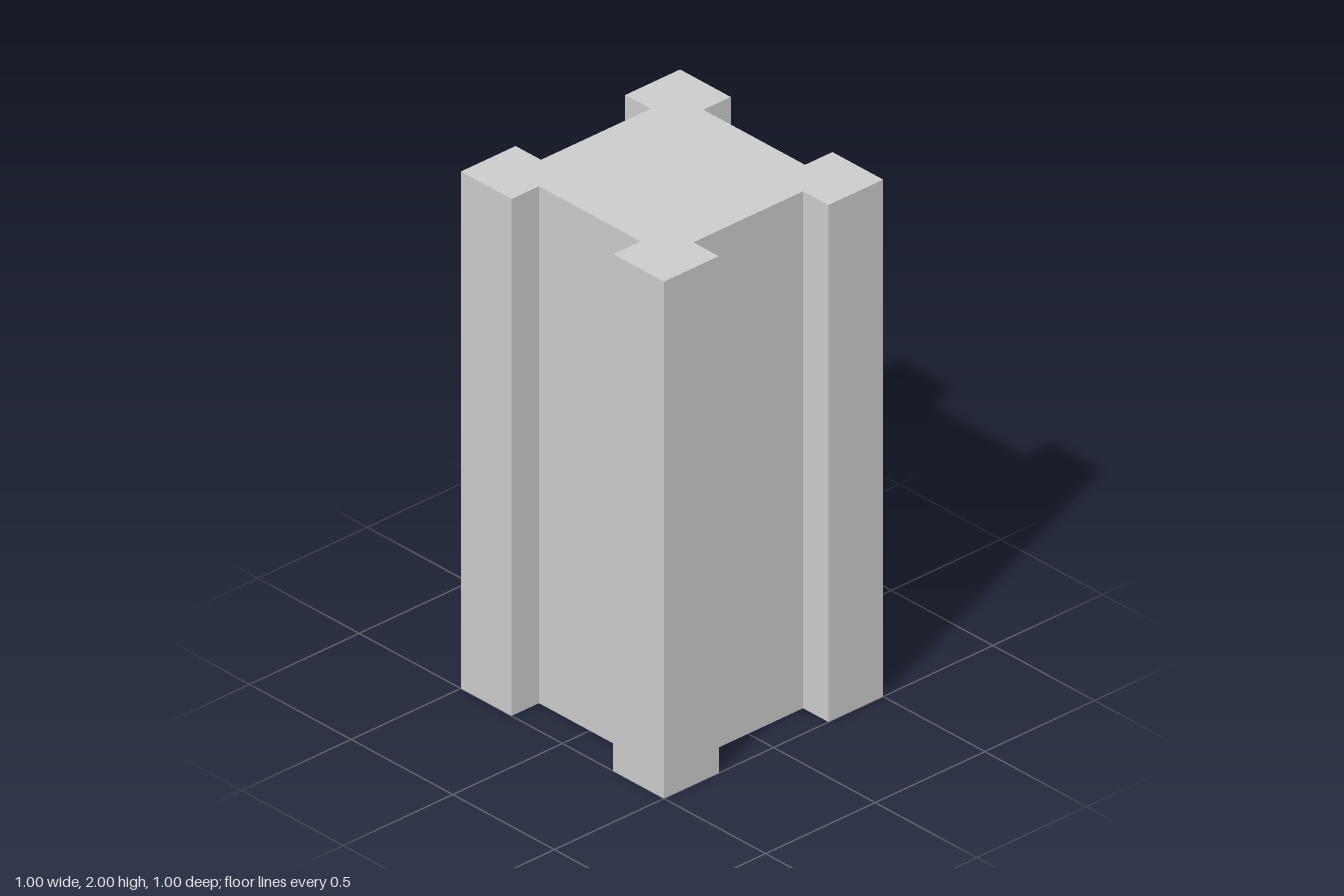
import * as THREE from 'three';

const HEIGHT = 2;

// One corner post of the plan; quarter turns of it give the full outline
const CORNER = [[0.375, 0.25], [0.5, 0.25], [0.5, 0.5], [0.25, 0.5], [0.25, 0.375]];

function columnOutline() {
  const points = [];
  let corner = CORNER;
  for (let i = 0; i < 4; i++) {
    points.push(...corner.map(([x, y]) => new THREE.Vector2(x, y)));
    corner = corner.map(([x, y]) => [-y, x]);
  }
  return new THREE.Shape(points);
}

export function createModel() {
  const group = new THREE.Group();
  group.name = 'pillar';

  // Square column with four corner posts and a recessed panel on each side
  const geometry = new THREE.ExtrudeGeometry(columnOutline(), { depth: HEIGHT, bevelEnabled: false });
  geometry.rotateX(-Math.PI / 2);

  const material = new THREE.MeshStandardMaterial({ color: 0xcccccc, flatShading: true });
  const column = new THREE.Mesh(geometry, material);
  column.name = 'column';
  group.add(column);
  return group;
}
